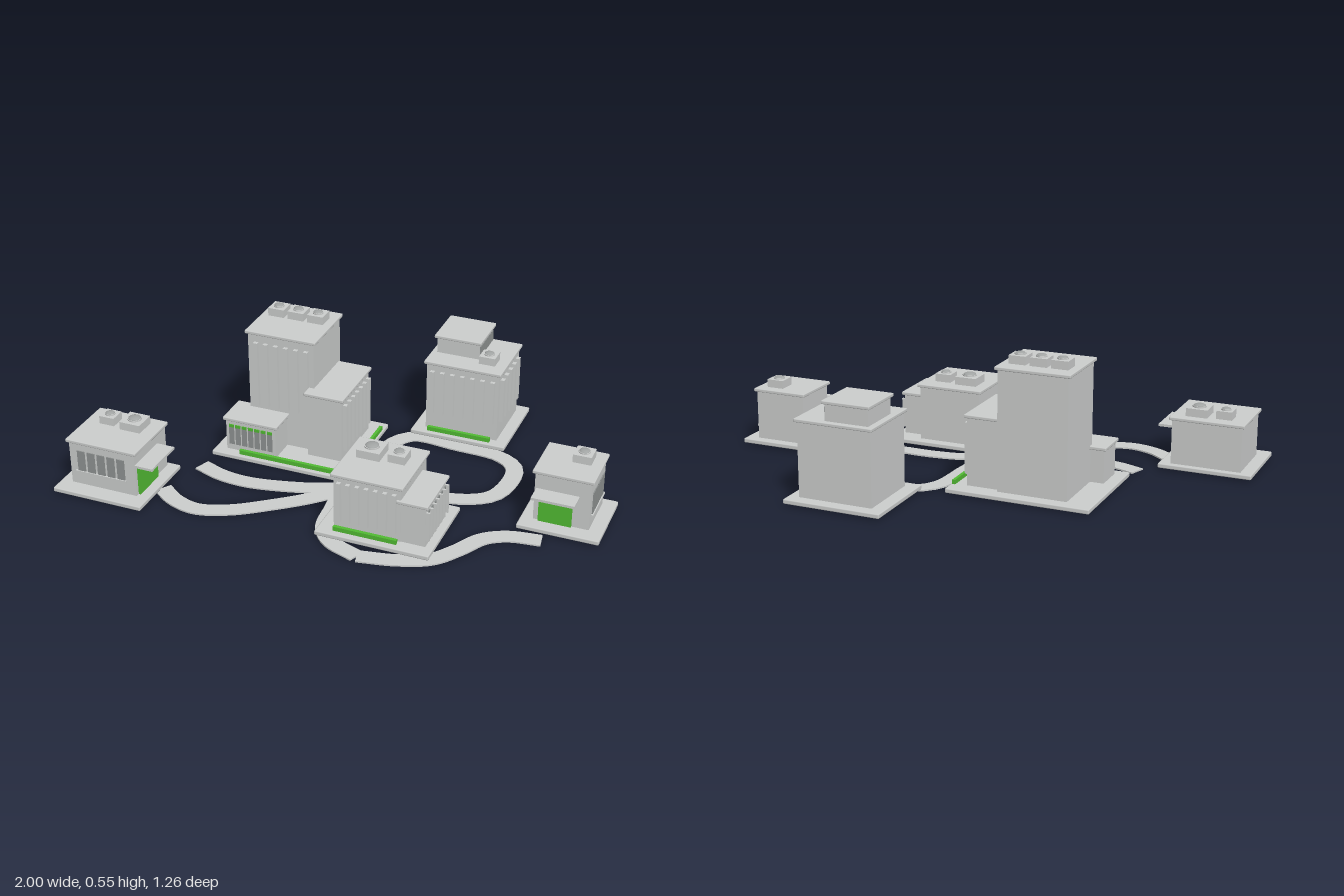
import * as THREE from 'three';
import { RoundedBoxGeometry } from 'three/addons/geometries/RoundedBoxGeometry.js';

const mat = (name, color) => {
  const m = new THREE.MeshStandardMaterial({ color });
  m.name = name;
  return m;
};

export function createModel() {
  const wall = mat('pale grey', 0xcccecd);
  const glass = mat('window grey', 0x8f9392);
  const fanGrey = mat('fan grey', 0xa2a5a4);
  const green = mat('green', 0x52bb33);
  const model = new THREE.Group();
  model.name = 'campus';

  const add = (parent, name, geo, material) => {
    const m = new THREE.Mesh(geo, material);
    m.name = name;
    parent.add(m);
    return m;
  };
  // Box given by its limits on each axis
  const box = (parent, name, x0, x1, y0, y1, z0, z1, material = wall, round = 0) => {
    const s = [x1 - x0, y1 - y0, z1 - z0];
    const geo = round ? new RoundedBoxGeometry(...s, 1, round) : new THREE.BoxGeometry(...s);
    add(parent, name, geo, material).position.set((x0 + x1) / 2, (y0 + y1) / 2, (z0 + z1) / 2);
  };
  const building = (name) => {
    const g = new THREE.Group();
    g.name = name;
    model.add(g);
    return g;
  };
  const base = (g, x0, x1, z0, z1) => box(g, 'basePlate', x0, x1, 0.006, 0.025, z0, z1, wall, 0.005);
  // Walls with a slightly overhanging roof slab; limits are those of the slab
  const block = (g, name, x0, x1, z0, z1, top, bottom = 0.024) => {
    const o = 0.01;
    box(g, name + 'Walls', x0 + o, x1 - o, bottom, top - 0.012, z0 + o, z1 - o);
    box(g, name + 'Roof', x0, x1, top - 0.014, top, z0, z1, wall, 0.004);
  };
  // Row of upright plates on a front (+z) or right (+x) wall
  const row = (g, name, side, a0, a1, y0, y1, at, count, fill, depth, material) => {
    const pitch = (a1 - a0) / count, w = pitch * fill;
    for (let i = 0; i < count; i++) {
      const c = a0 + pitch * (i + 0.5);
      if (side === 'front') box(g, name, c - w / 2, c + w / 2, y0, y1, at, at + depth, material);
      else box(g, name, at, at + depth, y0, y1, c - w / 2, c + w / 2, material);
    }
  };
  const fins = (g, side, a0, a1, y0, y1, at, n) => row(g, 'fin', side, a0, a1, y0, y1, at, n, 0.42, 0.015, wall);
  const windows = (g, side, a0, a1, y0, y1, at, n) => row(g, 'window', side, a0, a1, y0, y1, at, n, 0.75, 0.004, glass);
  // Rooftop cooling unit with a domed fan
  const unit = (g, x, z, y, s) => {
    box(g, 'coolingUnit', x - s / 2, x + s / 2, y, y + 0.032, z - s / 2, z + s / 2, wall);
    const r = s * 0.32;
    add(g, 'fanRing', new THREE.CylinderGeometry(r, r, 0.006, 20), wall).position.set(x, y + 0.034, z);
    const dome = add(g, 'fanDome', new THREE.SphereGeometry(r * 0.9, 20, 6, 0, Math.PI * 2, 0, Math.PI / 2), fanGrey);
    dome.scale.y = 0.35;
    dome.position.set(x, y + 0.036, z);
  };

  // Small hall on the left, door on its +x side
  const a = building('leftHall');
  base(a, -1, -0.63, 0.305, 0.63);
  block(a, 'hall', -0.963, -0.667, 0.315, 0.575, 0.215);
  windows(a, 'front', -0.925, -0.715, 0.085, 0.17, 0.565, 5);
  box(a, 'windowSill', -0.93, -0.715, 0.075, 0.085, 0.565, 0.573);
  box(a, 'door', -0.677, -0.669, 0.025, 0.138, 0.41, 0.55, green);
  box(a, 'canopy', -0.68, -0.604, 0.148, 0.158, 0.39, 0.565);
  unit(a, -0.87, 0.393, 0.215, 0.062);
  unit(a, -0.765, 0.393, 0.215, 0.085);

  // Tall tower with a side wing and a low front wing
  const b = building('tower');
  base(b, -0.567, 0, -0.29, 0.163);
  block(b, 'tower', -0.476, -0.182, -0.255, 0.022, 0.503);
  fins(b, 'front', -0.452, -0.2, 0.185, 0.457, 0.012, 6);
  block(b, 'sideWing', -0.216, -0.053, -0.236, 0.06, 0.302);
  fins(b, 'right', -0.225, 0.045, 0.065, 0.265, -0.063, 7);
  block(b, 'lowWing', -0.53, -0.3, -0.013, 0.132, 0.168);
  windows(b, 'front', -0.51, -0.32, 0.05, 0.125, 0.122, 7);
  row(b, 'windowTransom', 'front', -0.51, -0.32, 0.125, 0.137, 0.122, 7, 0.75, 0.004, green);
  box(b, 'frontHedge', -0.455, -0.055, 0.024, 0.042, 0.134, 0.148, green);
  box(b, 'sideHedge', -0.018, -0.006, 0.024, 0.042, -0.235, 0.09, green);
  for (const x of [-0.412, -0.33, -0.247]) unit(b, x, -0.163, 0.503, 0.066);

  // Front office with a side wing
  const c = building('frontOffice');
  base(c, 0.027, 0.467, 0.18, 0.528);
  block(c, 'office', 0.075, 0.353, 0.205, 0.488, 0.256);
  fins(c, 'front', 0.09, 0.338, 0.06, 0.222, 0.478, 7);
  block(c, 'sideWing', 0.325, 0.446, 0.252, 0.485, 0.2);
  windows(c, 'right', 0.268, 0.47, 0.055, 0.165, 0.436, 6);
  row(c, 'fin', 'right', 0.252, 0.486, 0.05, 0.168, 0.436, 7, 0.25, 0.014, wall);
  box(c, 'frontHedge', 0.09, 0.335, 0.024, 0.042, 0.488, 0.502, green);
  unit(c, 0.165, 0.305, 0.256, 0.09);
  unit(c, 0.27, 0.305, 0.256, 0.066);

  // Rear office with a rooftop storey
  const d = building('rearOffice');
  base(d, 0.095, 0.487, -0.635, -0.285);
  block(d, 'office', 0.135, 0.452, -0.602, -0.317, 0.326);
  fins(d, 'front', 0.15, 0.44, 0.1, 0.285, -0.327, 7);
  fins(d, 'right', -0.58, -0.335, 0.1, 0.285, 0.442, 5);
  block(d, 'upperStorey', 0.148, 0.342, -0.592, -0.398, 0.404, 0.32);
  windows(d, 'right', -0.58, -0.415, 0.335, 0.378, 0.332, 6);
  box(d, 'frontHedge', 0.16, 0.42, 0.024, 0.042, -0.315, -0.301, green);
  unit(d, 0.375, -0.408, 0.326, 0.066);

  // Small hall on the right, door on its front
  const e = building('rightHall');
  base(e, 0.69, 1, -0.077, 0.212);
  block(e, 'hall', 0.727, 0.957, -0.054, 0.163, 0.235);
  windows(e, 'right', -0.03, 0.13, 0.08, 0.17, 0.947, 5);
  box(e, 'windowSill', 0.947, 0.955, 0.072, 0.08, -0.035, 0.135);
  box(e, 'door', 0.757, 0.882, 0.025, 0.142, 0.153, 0.161, green);
  box(e, 'canopy', 0.743, 0.905, 0.148, 0.158, 0.15, 0.224);
  unit(e, 0.88, 0.02, 0.235, 0.07);

  // Flat winding paths, each an outline offset from a centre curve
  const path = (name, pts) => {
    const curve = new THREE.CatmullRomCurve3(pts.map(([x, z]) => new THREE.Vector3(x, z, 0)));
    const left = [], right = [], n = 48, half = 0.034;
    for (let i = 0; i <= n; i++) {
      const p = curve.getPointAt(i / n), t = curve.getTangentAt(i / n);
      left.push(new THREE.Vector2(p.x - t.y * half, p.y + t.x * half));
      right.unshift(new THREE.Vector2(p.x + t.y * half, p.y - t.x * half));
    }
    const geo = new THREE.ExtrudeGeometry(new THREE.Shape([...left, ...right]), { depth: 0.006, bevelEnabled: false });
    add(model, name, geo.rotateX(Math.PI / 2).translate(0, 0.006, 0), wall);
  };
  path('loopPath', [[0.02, 0.2], [0.04, 0], [0.06, -0.2], [0.12, -0.27], [0.3, -0.265], [0.48, -0.25],
    [0.56, -0.19], [0.575, -0.08], [0.54, 0.04], [0.42, 0.105], [0.25, 0.11], [0.12, 0.13], [0.01, 0.19]]);
  path('towerPath', [[0.01, 0.19], [-0.15, 0.25], [-0.35, 0.29], [-0.47, 0.28], [-0.57, 0.245]]);
  path('leftPath', [[0.01, 0.2], [-0.08, 0.3], [-0.2, 0.4], [-0.33, 0.49], [-0.45, 0.53], [-0.55, 0.505], [-0.63, 0.45]]);
  path('frontPath', [[0, 0.2], [0.02, 0.32], [0.04, 0.46], [0.1, 0.54], [0.22, 0.59]]);
  path('rightPath', [[0.22, 0.59], [0.36, 0.56], [0.47, 0.51], [0.54, 0.42], [0.6, 0.32], [0.68, 0.27], [0.8, 0.25]]);

  return model;
}
